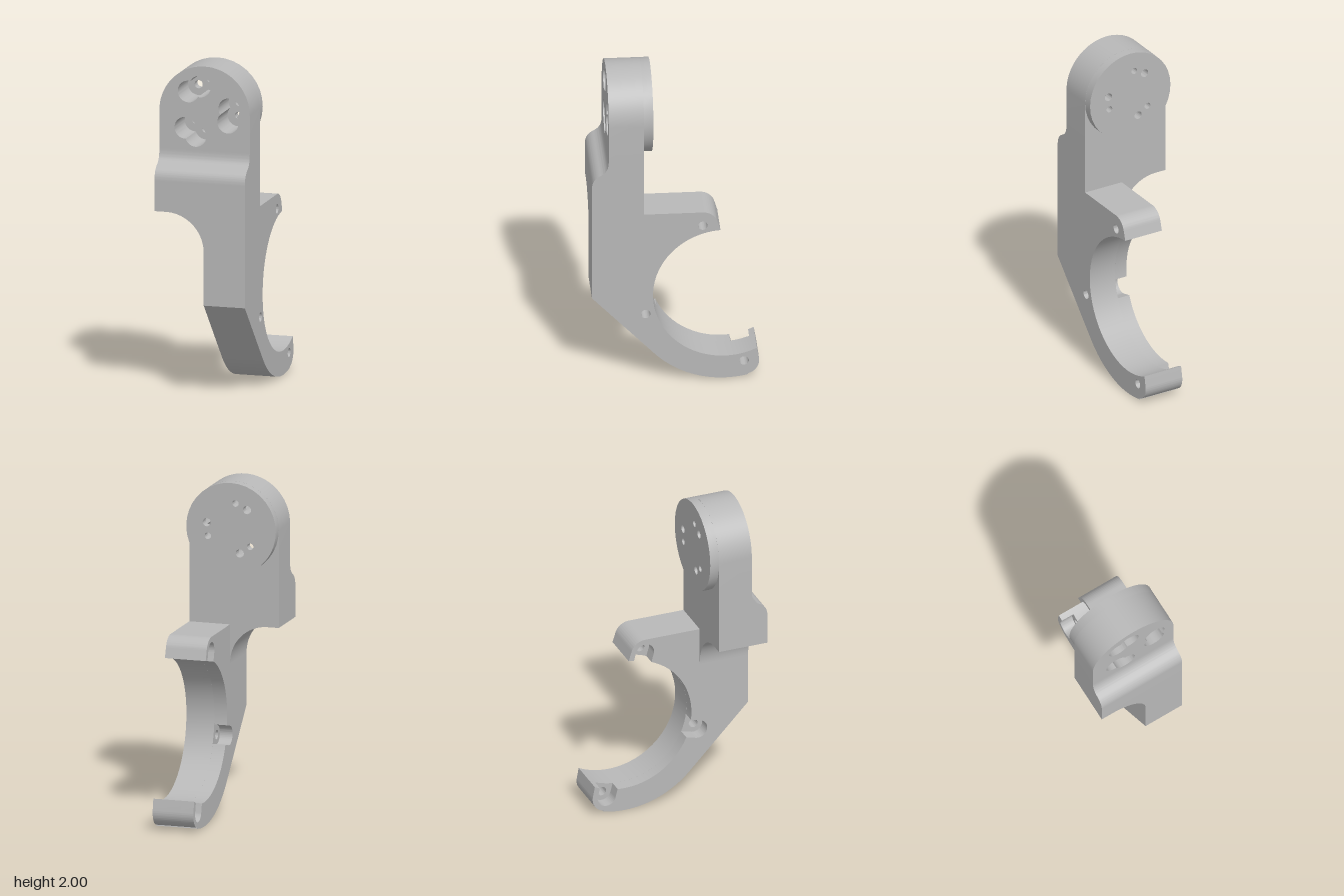
import * as THREE from 'three';
import { toCreasedNormals } from 'three/addons/utils/BufferGeometryUtils.js';

const DEG = Math.PI / 180;

// Circular hole outline
function circle(x, y, r) {
  return new THREE.Path().absarc(x, y, r, 0, Math.PI * 2, false);
}

// Outline of two overlapping circles
function doubleCircle(p, q, r) {
  const dx = q[0] - p[0], dy = q[1] - p[1];
  const t = Math.atan2(dy, dx);
  const g = Math.acos(Math.hypot(dx, dy) / 2 / r);
  const path = new THREE.Path();
  path.absarc(p[0], p[1], r, t + g, t - g + Math.PI * 2, false);
  path.absarc(q[0], q[1], r, t + Math.PI + g, t + Math.PI * 3 - g, false);
  return path;
}

export function createModel() {
  const group = new THREE.Group();
  const grey = new THREE.MeshStandardMaterial({ color: 0xb8b8b8 });
  grey.name = 'machinedGrey';

  // Extrude between two depths; sideways shapes are drawn in (-z, y) and run along x
  function add(name, shape, from, to, sideways = false) {
    const geo = new THREE.ExtrudeGeometry(shape, { depth: to - from, bevelEnabled: false, curveSegments: 18 });
    geo.translate(0, 0, from);
    if (sideways) geo.rotateY(Math.PI / 2);
    const mesh = new THREE.Mesh(toCreasedNormals(geo, 0.5), grey);
    mesh.name = name;
    group.add(mesh);
  }

  // Rounded head with three double pockets
  const screws = [
    { big: [-0.1, 1.842], small: [-0.028, 1.877] },
    { big: [0.152, 1.75], small: [0.145, 1.668] },
    { big: [-0.055, 1.575], small: [-0.12, 1.62] },
  ];
  const head = new THREE.Shape();
  head.moveTo(-0.28, 1.49);
  head.lineTo(0.28, 1.49);
  head.absarc(0, 1.72, 0.28, 0, Math.PI, false);
  head.closePath();
  screws.forEach((s) => head.holes.push(doubleCircle(s.big, s.small, 0.066)));
  add('head', head, 0.19, 0.4);

  // Rear mounting disc, pierced by the screw holes
  const disc = new THREE.Shape().absarc(0, 1.72, 0.28, 0, Math.PI * 2, false);
  screws.forEach((s) => disc.holes.push(circle(...s.big, 0.025), circle(...s.small, 0.02)));
  add('mountingDisc', disc, 0.134, 0.19);

  // Shoulder with the S-shaped step at the front
  const shoulder = new THREE.Shape();
  shoulder.moveTo(-0.5, 1.125);
  shoulder.lineTo(-0.19, 1.125);
  shoulder.lineTo(-0.19, 1.49);
  shoulder.lineTo(-0.4, 1.49);
  shoulder.bezierCurveTo(-0.4, 1.44, -0.415, 1.415, -0.45, 1.397);
  shoulder.bezierCurveTo(-0.485, 1.379, -0.5, 1.35, -0.5, 1.31);
  shoulder.closePath();
  add('shoulder', shoulder, -0.28, 0.28, true);

  // Concave web between shoulder and arm
  const web = new THREE.Shape();
  web.moveTo(-0.21, 1.125);
  web.absarc(-0.21, 0.89, 0.235, Math.PI / 2, 0, true);
  web.lineTo(0.025, 1.125);
  web.closePath();
  add('web', web, 0.19, 0.5);

  // Hooked arm around a round opening
  const C = [0.29, 0.575], R = 0.427;
  const bolts = [[0.405, 0.11], [-0.18, 0.45], [0.16, 1.035]];

  function armShape(slotted) {
    const s = new THREE.Shape();
    s.moveTo(-0.5, 1.125);
    s.lineTo(-0.5, 0.57);
    s.absarc(...C, 0.575, 223.5 * DEG, 283.9 * DEG, false);
    s.absarc(...bolts[0], 0.09, -76.1 * DEG, 11 * DEG, false);
    let a = 296.6 * DEG;
    if (slotted) {
      // U-shaped slots opening into the bore
      const w = 0.058, half = Math.asin(w / R);
      bolts.forEach(([x, y]) => {
        let t = Math.atan2(y - C[1], x - C[0]);
        if (t < 0) t += Math.PI * 2;
        s.absarc(...C, R, a, t + half, true);
        s.absarc(x, y, w, t + Math.PI / 2, t - Math.PI / 2, true);
        a = t - half;
      });
    }
    s.absarc(...C, R, a, 93.4 * DEG, true);
    s.absarc(...bolts[2], 0.09, 15.8 * DEG, Math.PI / 2, false);
    s.closePath();
    if (!slotted) bolts.forEach(([x, y]) => s.holes.push(circle(x, y, 0.028)));
    return s;
  }
  add('armSlottedSide', armShape(true), 0.025, 0.105, true);
  add('armOuterSide', armShape(false), 0.105, 0.28, true);

  return group;
}
